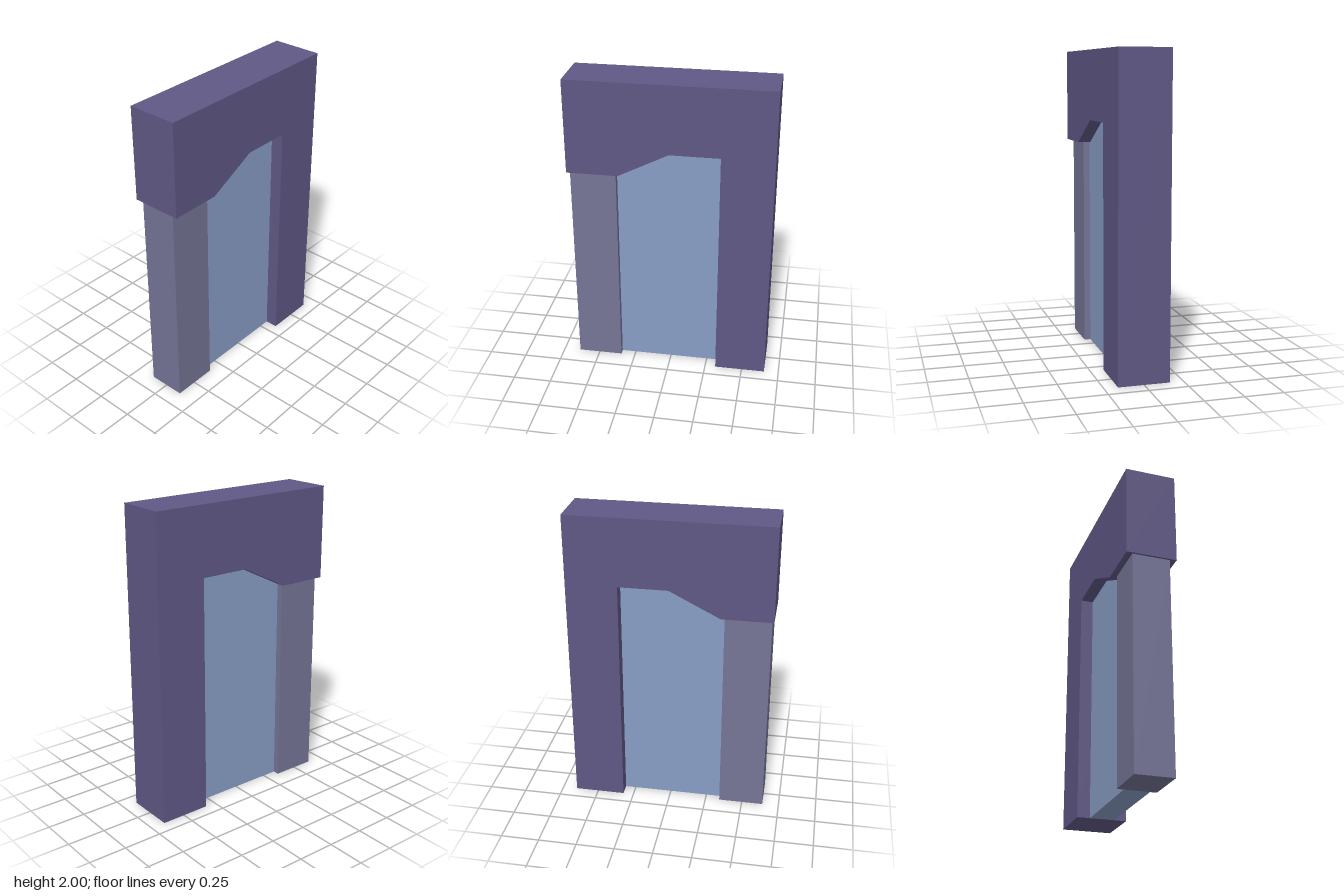
import * as THREE from 'three';

// Extrudes an outline in x/y between two z planes.
function slab(name, points, zBack, zFront, color) {
  const shape = new THREE.Shape(points.map(([x, y]) => new THREE.Vector2(x, y)));
  const geometry = new THREE.ExtrudeGeometry(shape, { depth: zFront - zBack, bevelEnabled: false });
  geometry.translate(0, 0, zBack);
  const mesh = new THREE.Mesh(geometry, new THREE.MeshStandardMaterial({ color, flatShading: true }));
  mesh.name = name;
  return mesh;
}

export function createModel() {
  const model = new THREE.Group();
  model.name = 'doorway';

  // Lower edge of the lintel, shared by the frame and the panel
  const lintelEdge = [[-0.325, 1.39], [0, 1.555], [0.32, 1.555]];

  // Frame: lintel with a sloped underside and one full-height jamb
  model.add(slab('frame', [
    [-0.653, 1.39], ...lintelEdge, [0.32, 0], [0.653, 0], [0.653, 2], [-0.653, 2],
  ], -0.163, 0.163, 0x5f5885));

  // Slimmer pillar carrying the other end of the lintel
  model.add(slab('pillar', [
    [-0.64, 0], [-0.345, 0], [-0.345, 1.39], [-0.64, 1.39],
  ], -0.122, 0.122, 0x757496));

  // Recessed panel filling the opening
  model.add(slab('panel', [
    [-0.345, 0], [0.32, 0], ...[...lintelEdge].reverse(), [-0.345, 1.39],
  ], -0.08, 0.08, 0x879dc4));

  return model;
}
